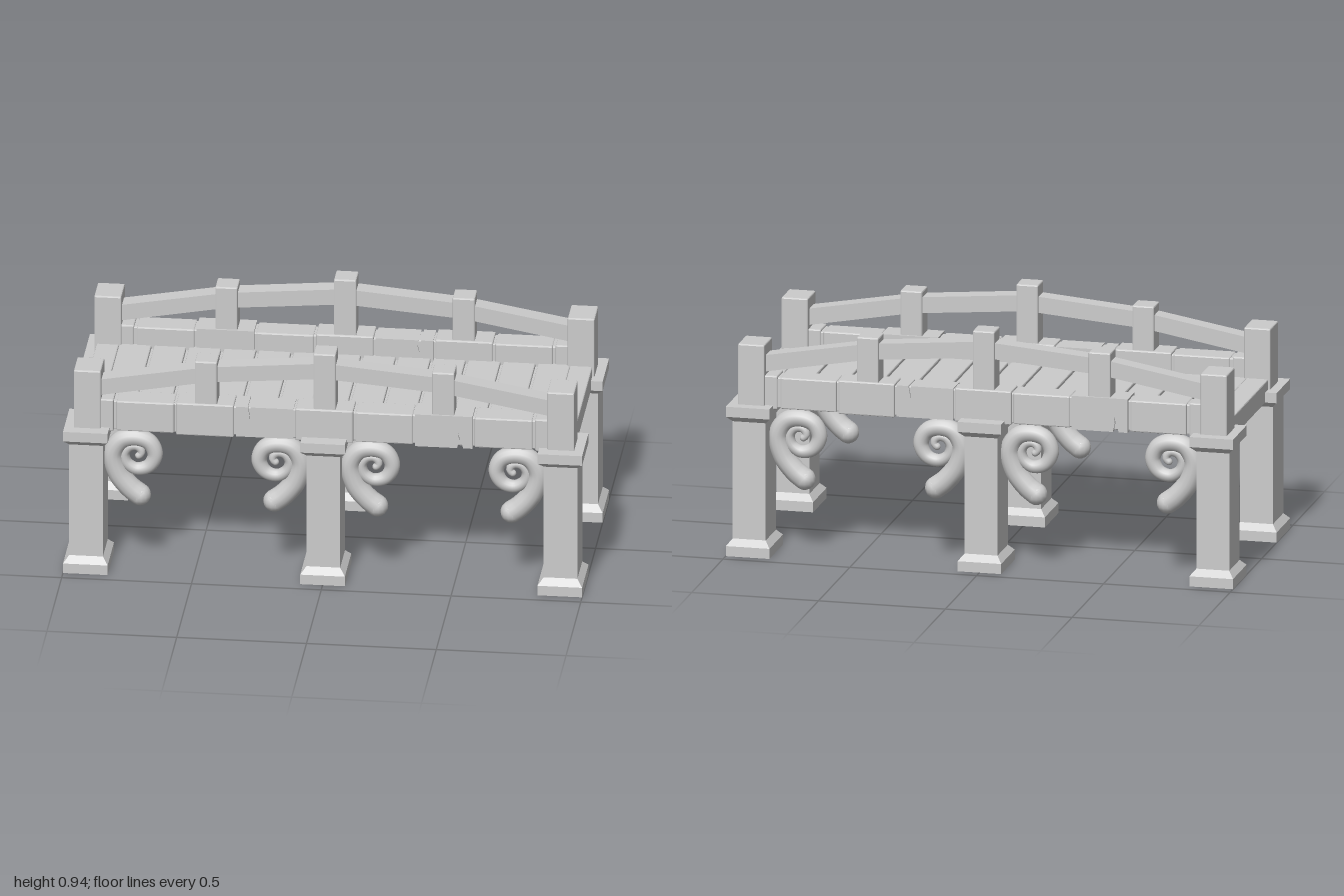
import * as THREE from 'three';
import { RoundedBoxGeometry } from 'three/addons/geometries/RoundedBoxGeometry.js';

const flat = new THREE.MeshStandardMaterial({ color: 0xcccccc, flatShading: true });
const smooth = new THREE.MeshStandardMaterial({ color: 0xcccccc });

function add(parent, name, geometry, material = flat) {
  const mesh = new THREE.Mesh(geometry, material);
  mesh.name = name;
  parent.add(mesh);
  return mesh;
}

// Slightly bevelled box given by its min and max along each axis
function box(parent, name, [x0, x1], [y0, y1], [z0, z1], bevel = 0.005) {
  const geometry = new RoundedBoxGeometry(x1 - x0, y1 - y0, z1 - z0, 1, bevel);
  geometry.translate((x0 + x1) / 2, (y0 + y1) / 2, (z0 + z1) / 2);
  return add(parent, name, geometry);
}

// Outline in the xy plane extruded between two z values
function slab(parent, name, points, z0, z1) {
  const shape = new THREE.Shape(points.map(([x, y]) => new THREE.Vector2(x, y)));
  const geometry = new THREE.ExtrudeGeometry(shape, { depth: z1 - z0, bevelEnabled: false });
  geometry.translate(0, 0, z0);
  return add(parent, name, geometry);
}

// Square pillar with flared foot and cap, hollowed a little underneath
function pillarGeometry() {
  const profile = [
    [0, 0.04], [0.05, 0.04], [0.066, 0], [0.086, 0], [0.086, 0.04], [0.065, 0.065],
    [0.065, 0.53], [0.086, 0.553], [0.086, 0.593], [0, 0.593],
  ].map(([half, y]) => new THREE.Vector2(half * Math.SQRT2, y));
  return new THREE.LatheGeometry(profile, 4, Math.PI / 4).scale(1, 1, 1.263);
}

// Curled bracket: a tail that winds clockwise into a tapering spiral
function addScroll(parent, x, direction) {
  const scroll = new THREE.Group();
  scroll.name = 'scrollBracket';
  const points = [[0.198, 0.297], [0.162, 0.325], [0.115, 0.385]].map(([px, py]) => new THREE.Vector3(px, py, 0));
  const radii = [0.09, 0.08, 0.069, 0.071, 0.072, 0.069, 0.063, 0.054, 0.046, 0.038, 0.031, 0.024, 0.018, 0.012];
  radii.forEach((r, i) => {
    const a = Math.PI - i * Math.PI / 4;
    points.push(new THREE.Vector3(0.185 + r * Math.cos(a), 0.468 + r * Math.sin(a), 0));
  });
  const curve = new THREE.CatmullRomCurve3(points);
  const rings = 80, sides = 14, thick = 0.043, thin = 0.014;
  const tube = new THREE.TubeGeometry(curve, rings, thick, sides);
  const position = tube.attributes.position, v = new THREE.Vector3();
  for (let i = 0; i <= rings; i++) {
    const centre = curve.getPointAt(i / rings);
    const scale = THREE.MathUtils.lerp(1, thin / thick, Math.pow(i / rings, 1.5));
    for (let j = 0; j <= sides; j++) {
      const k = i * (sides + 1) + j;
      v.fromBufferAttribute(position, k).sub(centre).multiplyScalar(scale).add(centre);
      position.setXYZ(k, v.x, v.y, v.z);
    }
  }
  add(scroll, 'scrollTube', tube, smooth);
  [[points[0], thick], [points[points.length - 1], thin]].forEach(([p, r]) => {
    add(scroll, 'scrollEnd', new THREE.SphereGeometry(r, 14, 10), smooth).position.copy(p);
  });
  scroll.position.set(x, 0, 0.348);
  scroll.scale.x = direction;
  parent.add(scroll);
}

// One long side of the bridge
function createSide() {
  const side = new THREE.Group();
  side.name = 'bridgeSide';

  // Pillars and their scroll brackets
  const pillar = pillarGeometry();
  [-0.914, 0, 0.914].forEach((x) => {
    add(side, 'pillar', pillar).position.set(x, 0, 0.348);
    if (x < 0.5) addScroll(side, x, 1);
    if (x > -0.5) addScroll(side, x, -1);
  });

  // Side beam faced with stone blocks, two of them cracked
  box(side, 'sideBeam', [-0.87, 0.87], [0.582, 0.702], [0.302, 0.388]);
  for (let i = -3; i <= 3; i++) {
    const x = i * 0.23, w = 0.111;
    const y0 = 0.577 + (i % 2 ? 0.004 : 0), y1 = 0.71 - (i % 2 ? 0.005 : 0);
    const z0 = 0.294, z1 = i % 2 ? 0.396 : 0.4;
    if (i === -1) {
      slab(side, 'crackedBlock', [[x - w, y0], [x + w, y0], [x + w, y1], [-0.285, y1],
        [-0.281, 0.68], [-0.287, 0.655], [-0.29, 0.68], [-0.295, y1], [x - w, y1]], z0, z1);
    } else if (i === 2) {
      slab(side, 'crackedBlock', [[x - w, y0], [0.512, y0], [0.52, 0.61], [0.516, 0.64],
        [0.528, 0.605], [0.535, y0], [x + w, y0], [x + w, y1], [x - w, y1]], z0, z1);
    } else {
      box(side, 'beamBlock', [x - w, x + w], [y0, y1], [z0, z1]);
    }
  }
  [-1, 1].forEach((s) => {
    const xs = [s * 0.812, s * 0.87].sort((a, b) => a - b);
    box(side, 'endBlock', xs, [0.577, 0.71], [0.296, 0.396]);
  });

  // Posts
  [-0.912, 0.912].forEach((x) => box(side, 'cornerPost', [x - 0.052, x + 0.052], [0.585, 0.833], [0.283, 0.411]));
  [[-0.457, 0.885], [0, 0.94], [0.457, 0.885]].forEach(([x, top]) => {
    box(side, 'railPost', [x - 0.043, x + 0.043], [0.69, top], [0.303, 0.392]);
  });

  // Handrail rising to the middle
  slab(side, 'handrail', [[-0.88, 0.719], [-0.457, 0.795], [0, 0.833], [0.457, 0.795], [0.88, 0.719],
    [0.88, 0.784], [0.457, 0.858], [0, 0.897], [-0.457, 0.858], [-0.88, 0.784]], 0.313, 0.382);
  return side;
}

export function createModel() {
  const model = new THREE.Group();
  model.name = 'bridge';

  // The far side is the near side turned half way round
  const front = createSide(), back = createSide();
  back.rotation.y = Math.PI;
  model.add(front, back);

  // Deck planks with narrow gaps over a thin underlay
  const pitch = 0.1345;
  for (let i = -6; i <= 6; i++) {
    const x = i * pitch;
    box(model, 'deckPlank', [x - 0.062, x + 0.062], [0.583, 0.631], [-0.31, 0.31]);
  }
  box(model, 'deckUnderlay', [-0.88, 0.88], [0.59, 0.618], [-0.31, 0.31]);

  // Cross beams closing both ends
  [-0.912, 0.912].forEach((x) => box(model, 'endBeam', [x - 0.043, x + 0.043], [0.55, 0.633], [-0.3, 0.3]));
  return model;
}
